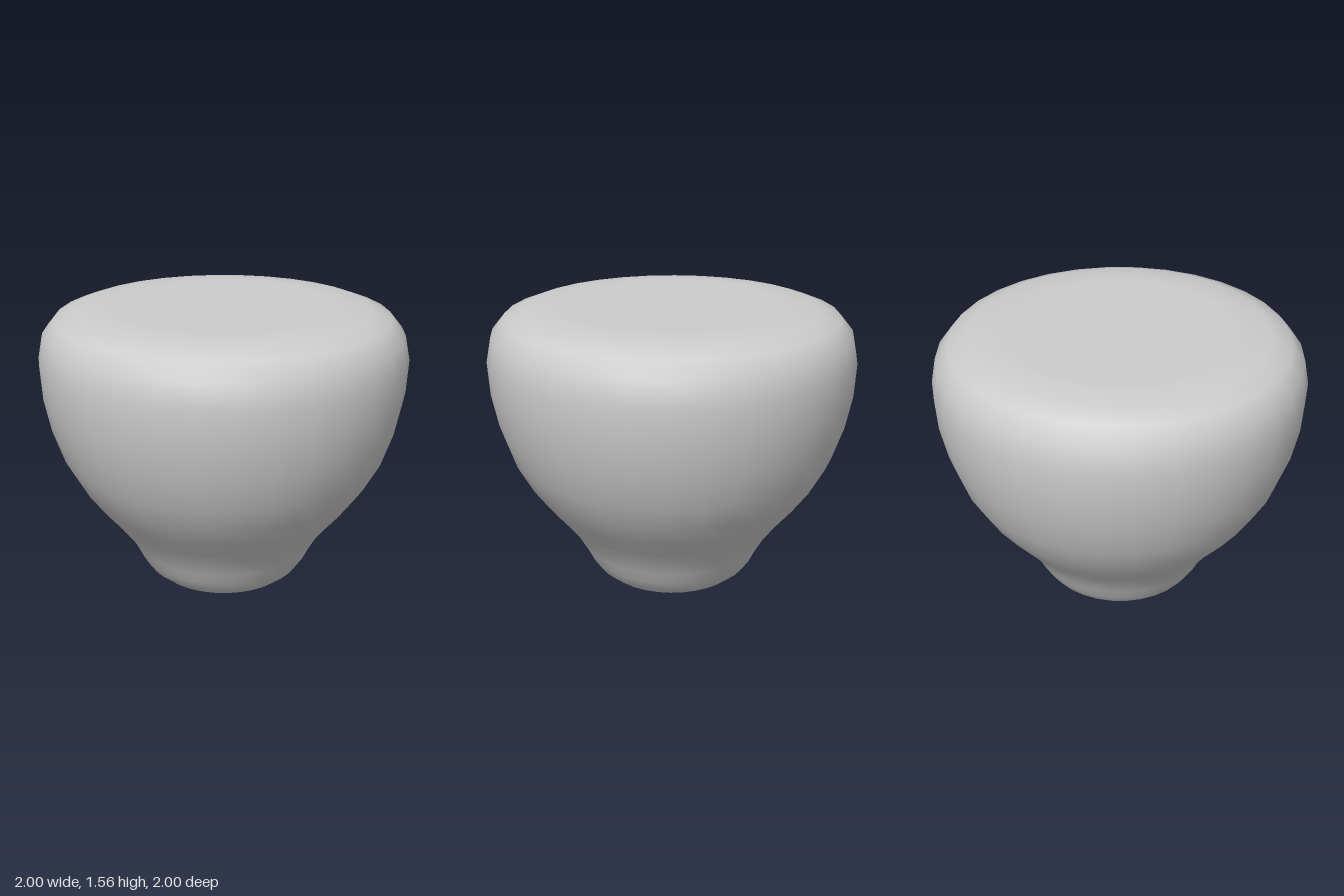
import * as THREE from 'three';

const SEGMENTS = 32;
const material = new THREE.MeshStandardMaterial({ color: 0xcccccc });

// Revolve a list of [radius, height] pairs around the y axis
function revolve(name, profile) {
  const points = profile.map(([r, y]) => new THREE.Vector2(r, y));
  const mesh = new THREE.Mesh(new THREE.LatheGeometry(points, SEGMENTS), material);
  mesh.name = name;
  return mesh;
}

export function createModel() {
  const group = new THREE.Group();
  group.name = 'knob';

  const boreRadius = 0.147, boreDepth = 0.8, baseRadius = 0.335;

  // Rounded outer body, from the foot up over the flat top
  group.add(revolve('body', [
    [baseRadius, 0], [0.365, 0.013], [0.425, 0.06], [0.468, 0.12], [0.503, 0.19],
    [0.55, 0.27], [0.62, 0.36], [0.71, 0.465], [0.8, 0.585], [0.885, 0.735],
    [0.95, 0.92], [0.988, 1.1], [1, 1.28], [0.974, 1.415], [0.905, 1.5],
    [0.8, 1.54], [0.66, 1.555], [0.6, 1.556], [0, 1.556],
  ]));

  // Flat underside around the mounting hole
  group.add(revolve('base', [[boreRadius, 0], [baseRadius, 0]]));

  // Blind mounting hole
  group.add(revolve('boreWall', [[boreRadius, boreDepth], [boreRadius, 0]]));
  group.add(revolve('boreEnd', [[0, boreDepth], [boreRadius, boreDepth]]));

  return group;
}
